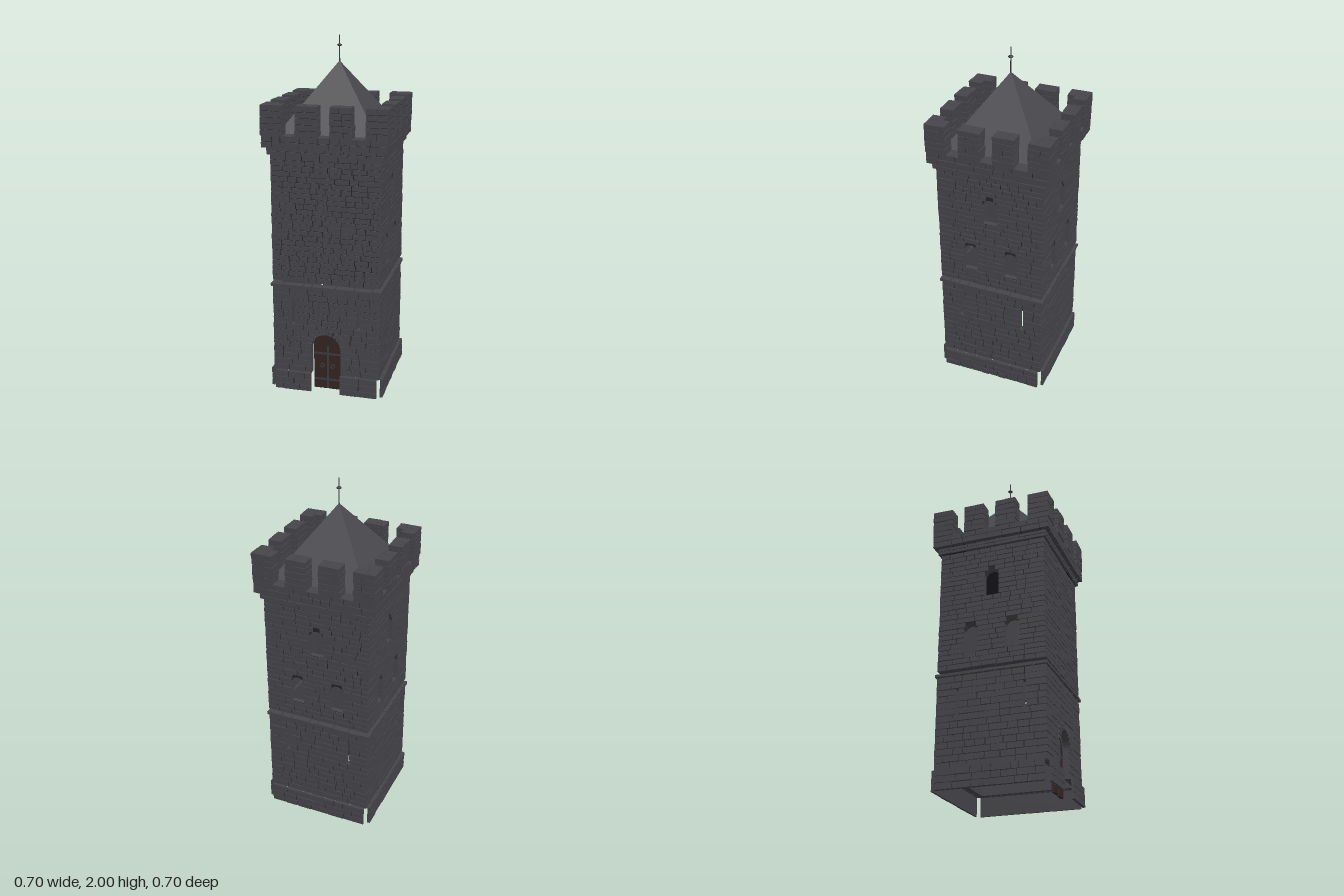
import * as THREE from 'three';
import { mergeGeometries } from 'three/addons/utils/BufferGeometryUtils.js';

const mat = (name, color, side = THREE.FrontSide) => {
  const m = new THREE.MeshStandardMaterial({ color, side });
  m.name = name;
  return m;
};

export function createModel() {
  const stone = mat('stone', 0x46454a);
  const mortar = mat('mortar', 0x242428, THREE.DoubleSide);
  const slate = mat('roof slate', 0x48474c);
  const wood = mat('door wood', 0x332423);
  const iron = mat('iron', 0x3c3c41);
  const tower = new THREE.Group();
  tower.name = 'tower';

  let seed = 7;
  const rnd = () => (seed = (seed * 16807) % 2147483647) / 2147483647;
  const jit = (a) => (rnd() - 0.5) * 2 * a;

  const add = (name, geo, material, parent = tower) => {
    const m = new THREE.Mesh(geo, material);
    m.name = name;
    parent.add(m);
    return m;
  };
  // Box given by its limits, turned to side k (0 front, 1 +x, 2 back, 3 -x)
  const block = (list, k, x0, x1, y0, y1, z0, z1) => {
    const g = new THREE.BoxGeometry(x1 - x0, y1 - y0, z1 - z0);
    g.translate((x0 + x1) / 2, (y0 + y1) / 2, (z0 + z1) / 2);
    list.push(g.rotateY(k * Math.PI / 2));
  };

  // Openings, in the local x and y of a side
  const slits = [-0.19, 0.19].map((x) => ({ x, w: 0.02, y0: 0.4, y1: 0.546 }));
  const door = { x: 0, w: 0.17, y0: 0, y1: 0.353, arch: true };
  const windows = [
    { x: -0.12, w: 0.08, y0: 0.75, y1: 0.915, arch: true },
    { x: 0.12, w: 0.08, y0: 0.75, y1: 0.915, arch: true },
    { x: 0, w: 0.086, y0: 1.08, y1: 1.235, arch: true },
  ];
  const outline = (o, path) => {
    const r = o.w / 2;
    path.moveTo(o.x - r, o.y0);
    path.lineTo(o.x + r, o.y0);
    if (o.arch) path.absarc(o.x, o.y1 - r, r, 0, Math.PI, false);
    else path.lineTo(o.x + r, o.y1).lineTo(o.x - r, o.y1);
    path.lineTo(o.x - r, o.y0);
    return path;
  };

  // Courses of irregular stones that leave the openings free
  const courses = (list, k, half, y0, y1, rows, zIn, zOut, openings = []) => {
    const h = (y1 - y0) / rows;
    for (let i = 0; i < rows; i++) {
      const a = y0 + i * h, b = a + h;
      const spans = [];
      let start = -half;
      for (const o of [...openings].sort((p, q) => p.x - q.x)) {
        if (b <= o.y0 + 0.004 || a >= o.y1 - 0.004) continue;
        const r = o.w / 2, up = a - (o.y1 - r);
        const cut = o.arch && up > 0 ? Math.sqrt(r * r - up * up) : r;
        spans.push([start, o.x - cut]);
        start = o.x + cut;
      }
      spans.push([start, half]);
      for (const [s, e] of spans) {
        let x = s;
        while (x < e - 0.001) {
          let n = x + 0.045 + rnd() * 0.07;
          if (e - n < 0.035) n = e;
          const gx = 0.0015 + rnd() * 0.002, gy = 0.0008 + rnd() * 0.0016;
          block(list, k, x + (x === s ? 0 : gx), n - (n === e ? 0 : gx), a + gy, b - gy, zIn, zOut + jit(0.0018));
          x = n;
        }
      }
    }
  };

  // Wall slab with a dark outer skin behind the stones
  const slab = (name, k, half, y0, y1, zIn, zOut, openings, doorway) => {
    const s = new THREE.Shape();
    s.moveTo(-half, y0);
    if (doorway) {
      const r = door.w / 2;
      s.lineTo(-r, y0);
      if (y1 > door.y1) s.lineTo(-r, door.y1 - r).absarc(0, door.y1 - r, r, Math.PI, 0, true);
      else s.lineTo(-r, y1).lineTo(-half, y1).lineTo(-half, y0);
      if (y1 > door.y1) s.lineTo(r, y0);
    }
    if (!doorway || y1 > door.y1) s.lineTo(half, y0).lineTo(half, y1).lineTo(-half, y1).lineTo(-half, y0);
    const shapes = [s];
    if (doorway && y1 <= door.y1) {
      const r = door.w / 2;
      shapes.push(new THREE.Shape([[r, y0], [half, y0], [half, y1], [r, y1]].map((p) => new THREE.Vector2(...p))));
    }
    s.holes = openings.map((o) => outline(o, new THREE.Path()));
    const body = new THREE.ExtrudeGeometry(shapes, { depth: zOut - zIn, bevelEnabled: false, curveSegments: 10 });
    const skin = new THREE.ShapeGeometry(shapes, 10);
    add(name, body.translate(0, 0, zIn).rotateY(k * Math.PI / 2), stone);
    add(name + 'Joints', skin.translate(0, 0, zOut + 0.001).rotateY(k * Math.PI / 2), mortar);
  };

  const plinth = [], lower = [], ledge = [], upper = [], cornice = [], merlons = [], cores = [];

  // One merlon of stacked split stones around a dark core
  const merlon = (k, x0, x1, z0, z1, y0, y1) => {
    const rows = 5, h = (y1 - y0) / rows;
    block(cores, k, x0 + 0.005, x1 - 0.005, y0, y1 - 0.008, z0 + 0.005, z1 - 0.005);
    for (let i = 0; i < rows; i++) {
      const a = y0 + i * h + 0.0015, b = y0 + (i + 1) * h - 0.0015;
      const m = x1 - x0 > 0.06 ? x0 + (x1 - x0) * (0.35 + rnd() * 0.3) : x1;
      const parts = m < x1 ? [[x0, m - 0.0012], [m + 0.0012, x1]] : [[x0, x1]];
      for (const [s, e] of parts) {
        block(merlons, k, s + (s === x0 ? jit(0.002) : 0), e + (e === x1 ? jit(0.002) : 0), a, b, z0 + jit(0.002), z1 + jit(0.002));
      }
    }
  };

  for (let k = 0; k < 4; k++) {
    const front = k === 0;
    const doorway = front ? [door] : [];
    // Plinth panels, open at the corners
    slab('plinthPanel', k, 0.297, 0, 0.11, 0.313, 0.32, [], front);
    courses(plinth, k, 0.297, 0, 0.11, 3, 0.319, 0.328, doorway);
    courses(plinth, k, 0.297, 0.107, 0.114, 1, 0.3, 0.325, doorway);
    // Lower storey
    slab('lowerWall', k, 0.302, 0.11, 0.62, 0.272, 0.302, slits, front);
    courses(lower, k, 0.308, 0.11, 0.62, 14, 0.3, 0.309, [...slits, ...doorway]);
    courses(ledge, k, 0.318, 0.62, 0.64, 1, 0.272, 0.319);
    // Upper storey, with a narrow open gap beneath it
    const open = front ? [] : windows;
    slab('upperWall', k, 0.302, 0.658, 1.38, 0.272, 0.302, open, false);
    courses(upper, k, 0.308, 0.658, 1.38, 24, 0.3, 0.309, open);
    // Stepped cornice
    courses(cornice, k, 0.322, 1.38, 1.42, 2, 0.3, 0.324);
    courses(cornice, k, 0.346, 1.42, 1.49, 2, 0.3, 0.347);
    // Battlements: two merlons per side and L-shaped corners
    for (const x of [-0.095, 0.095]) merlon(k, x - 0.06, x + 0.06, 0.273, 0.35, 1.488, 1.655);
    merlon(k, 0.231, 0.35, 0.273, 0.35, 1.488, 1.655);
    merlon(k, -0.273, -0.231, 0.273, 0.35, 1.488, 1.655);
  }
  // Cornice cores and walkway
  block(cores, 0, -0.315, 0.315, 1.382, 1.42, -0.315, 0.315);
  block(cores, 0, -0.339, 0.339, 1.423, 1.482, -0.339, 0.339);
  block(cornice, 0, -0.342, 0.342, 1.482, 1.489, -0.342, 0.342);

  // Radial stones over the doorway
  const arch = [];
  for (let i = 0; i < 11; i++) {
    const t = Math.PI * (i + 0.5) / 11, len = 0.026 + rnd() * 0.012;
    const g = new THREE.BoxGeometry(len, 0.021, 0.03).translate(0.085 + len / 2, 0, 0);
    arch.push(g.rotateZ(t).translate(0, door.y1 - 0.085, 0.3));
  }

  const sets = { plinthStones: plinth, lowerStones: lower, ledgeStones: ledge, upperStones: upper, corniceStones: cornice, battlements: merlons, doorArch: arch };
  for (const [name, list] of Object.entries(sets)) add(name, mergeGeometries(list), stone);
  add('stoneJoints', mergeGeometries(cores), mortar);

  // Double door set back behind the wall
  const doors = new THREE.Group();
  doors.name = 'door';
  doors.position.z = 0.262;
  tower.add(doors);
  const planks = [], bands = [];
  for (const s of [-1, 1]) {
    for (let i = 0; i < 3; i++) {
      const c = s * (0.019 + i * 0.025);
      block(planks, 0, c - 0.0118, c + 0.0118, 0.003, 0.268, -0.007, 0.007);
    }
    for (const y of [0.06, 0.22]) block(bands, 0, s * 0.044 - 0.037, s * 0.044 + 0.037, y - 0.006, y + 0.006, -0.009, 0.009);
    bands.push(new THREE.TorusGeometry(0.011, 0.0025, 6, 14).translate(s * 0.03, 0.145, 0.01));
  }
  block(bands, 0, -0.005, 0.005, 0.003, 0.268, -0.006, 0.006);
  const fan = new THREE.Shape().absarc(0, 0, 0.083, 0, Math.PI, false);
  planks.push(new THREE.ExtrudeGeometry(fan, { depth: 0.012, bevelEnabled: false }).translate(0, 0.268, -0.006));
  add('doorPlanks', mergeGeometries(planks.map((g) => (g.index ? g.toNonIndexed() : g))), wood, doors);
  add('doorIronwork', mergeGeometries(bands), iron, doors);

  // Pyramid roof and finial
  const roof = new THREE.ConeGeometry(0.275 * Math.SQRT2, 0.372, 4, 1).rotateY(Math.PI / 4).toNonIndexed();
  roof.computeVertexNormals();
  add('roof', roof.translate(0, 1.675, 0), slate);
  add('finialRod', new THREE.CylinderGeometry(0.0025, 0.004, 0.15, 8).translate(0, 1.925, 0), iron);
  add('finialKnob', new THREE.SphereGeometry(0.014, 14, 8).scale(1, 0.5, 1).translate(0, 1.946, 0), iron);
  return tower;
}
